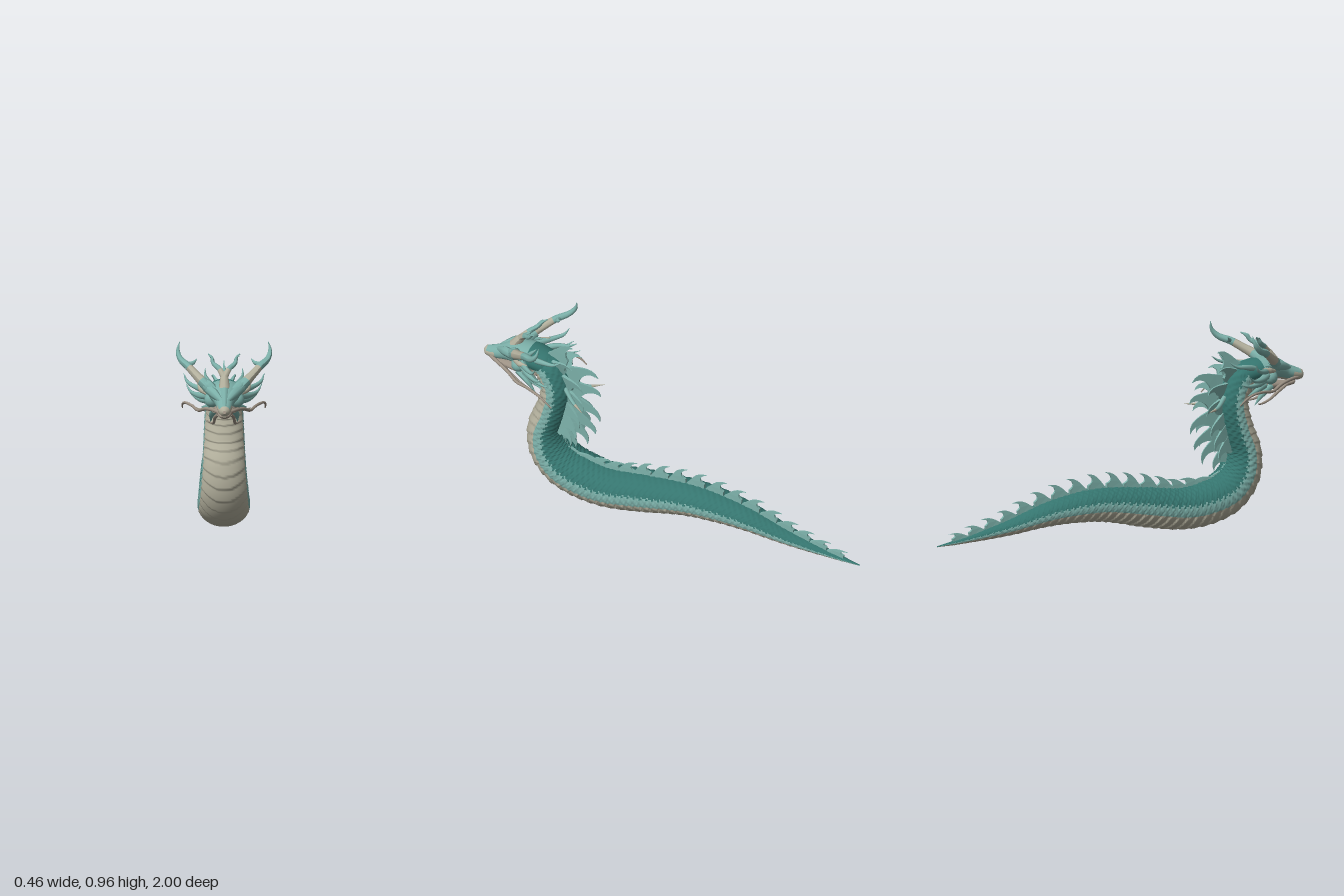
import * as THREE from 'three';

const paint = (name, color) => {
  const m = new THREE.MeshStandardMaterial({ color });
  m.name = name;
  return m;
};
const v = (x, y, z) => new THREE.Vector3(x, y, z);
const frac = (n) => n - Math.floor(n);

export function createModel() {
  const root = new THREE.Group();
  const dark = paint('deep teal', 0x35756f);
  const light = paint('pale teal', 0x7bafa8);
  const bone = paint('bone', 0xb3b09d);
  const whiskerTone = paint('whisker brown', 0x9c9184);

  const add = (name, geo, mat) => {
    const m = new THREE.Mesh(geo, mat);
    m.name = name;
    root.add(m);
    return m;
  };

  // Spine frame from sections [z, y, half height, half width], u from head to tail
  const spine = (sections) => {
    const path = new THREE.CatmullRomCurve3(sections.map(([z, y]) => v(0, y, z)), false, 'catmullrom', 0.5);
    path.arcLengthDivisions = 600;
    return (u) => {
      const k = path.getUtoTmapping(u) * (sections.length - 1);
      const i = Math.min(Math.floor(k), sections.length - 2);
      const mix = (c) => THREE.MathUtils.lerp(sections[i][c], sections[i + 1][c], k - i);
      const T = path.getTangentAt(u);
      return { C: path.getPointAt(u), T, N: v(0, -T.z, T.y), r: mix(2), w: mix(3) };
    };
  };

  // Skin over a spine; zone(u, a) picks the material, bump(u, a) scales the radius
  const loft = (name, at, rings, sides, mats, zone = () => 0, bump = () => 0) => {
    const pos = [], idx = mats.map(() => []);
    for (let i = 0; i <= rings; i++) {
      const f = at(i / rings);
      for (let j = 0; j < sides; j++) {
        const a = (j / sides) * Math.PI * 2, k = 1 + bump(i / rings, a);
        const p = f.C.clone().addScaledVector(f.N, Math.cos(a) * f.r * k);
        pos.push(p.x + Math.sin(a) * f.w * k, p.y, p.z);
      }
    }
    for (let i = 0; i < rings; i++) for (let j = 0; j < sides; j++) {
      const a = i * sides + j, b = i * sides + (j + 1) % sides;
      idx[zone((i + 0.5) / rings, ((j + 0.5) / sides) * Math.PI * 2)]
        .push(a, b, a + sides, b, b + sides, a + sides);
    }
    const g = new THREE.BufferGeometry();
    g.setAttribute('position', new THREE.Float32BufferAttribute(pos, 3));
    g.setIndex(idx.flat());
    let start = 0;
    idx.forEach((list, m) => { g.addGroup(start, list.length, m); start += list.length; });
    g.computeVertexNormals();
    return add(name, g, mats);
  };

  // Tapering tube; bands = [[end fraction, material], ...]
  const taper = (name, pts, radii, bands, n = 20, sides = 8) => {
    const curve = new THREE.CatmullRomCurve3(pts.map((p) => v(...p)));
    const g = new THREE.TubeGeometry(curve, n, 1, sides, false);
    const p = g.attributes.position, q = v(0, 0, 0);
    for (let i = 0; i <= n; i++) {
      const c = curve.getPointAt(i / n), k = (i / n) * (radii.length - 1);
      const e = Math.min(Math.floor(k), radii.length - 2);
      const r = THREE.MathUtils.lerp(radii[e], radii[e + 1], k - e);
      for (let j = 0; j <= sides; j++) {
        const o = i * (sides + 1) + j;
        q.fromBufferAttribute(p, o).sub(c).multiplyScalar(r).add(c);
        p.setXYZ(o, q.x, q.y, q.z);
      }
    }
    g.computeVertexNormals();
    let s = 0;
    bands.forEach(([end], m) => {
      const e = Math.round(end * n);
      g.addGroup(s * sides * 6, (e - s) * sides * 6, m);
      s = e;
    });
    return add(name, g, bands.map((b) => b[1]));
  };

  // Body: overlapping scales above, broad belly plates below
  const body = spine([
    [0.74, 0.73, 0.055, 0.06], [0.655, 0.7, 0.075, 0.08], [0.61, 0.6, 0.077, 0.091],
    [0.633, 0.47, 0.08, 0.097], [0.67, 0.35, 0.086, 0.104], [0.65, 0.24, 0.097, 0.114],
    [0.575, 0.158, 0.104, 0.121], [0.46, 0.116, 0.105, 0.123], [0.32, 0.102, 0.099, 0.12],
    [0.14, 0.126, 0.096, 0.113], [-0.06, 0.156, 0.083, 0.104], [-0.21, 0.16, 0.075, 0.098],
    [-0.4, 0.14, 0.059, 0.082], [-0.61, 0.093, 0.037, 0.055], [-0.83, 0.055, 0.016, 0.024],
    [-1, 0.034, 0.002, 0.003]]);
  const scale = (u, a) => {
    const col = (a / (Math.PI * 2)) * 24;
    return frac(u * 70 + (Math.floor(col) % 2) * 0.5 + Math.abs(frac(col) - 0.5) * 0.8);
  };
  const zone = (u, a) => {
    const c = Math.cos(a), jag = 0.2 * (scale(u, a) - 0.5);
    return c < -0.27 + jag * 0.3 ? 2 : c < 0.25 + jag ? 1 : 0;
  };
  loft('body', body, 440, 72, [dark, light, bone], zone, (u, a) => {
    const c = Math.cos(a);
    return c < -0.27 ? 0.07 * frac(u * 50 - 0.7 * c * c) - 0.02 : 0.06 * scale(u, a) - 0.02;
  });

  // Swept-back fin on the spine, thick at the root and tilted sideways by roll
  const fin = (name, u, len, h, lean, roll = 0) => {
    const s = new THREE.Shape();
    s.moveTo(0, -0.025);
    s.lineTo(0, 0);
    s.bezierCurveTo(len * 0.4, h * 0.45, len * 0.55, h * 1.1, len + lean, h);
    s.bezierCurveTo(len * 0.8, h * 0.85, len * 0.75, h * 0.4, len * 1.1, h * 0.2);
    s.lineTo(len * 1.1, -0.025);
    const g = new THREE.ExtrudeGeometry(s, { depth: 1, bevelEnabled: false, curveSegments: 7 });
    const p = g.attributes.position;
    for (let i = 0; i < p.count; i++) {
      const thick = THREE.MathUtils.lerp(0.018, 0.004, Math.min(1, Math.max(0, p.getY(i) / h)));
      p.setZ(i, (p.getZ(i) - 0.5) * thick);
    }
    g.computeVertexNormals();
    const f = body(u), X = v(1, 0, 0);
    const N = f.N.clone().multiplyScalar(Math.cos(roll)).addScaledVector(X, Math.sin(roll));
    const foot = f.C.clone().addScaledVector(f.N, Math.cos(roll) * f.r * 0.98)
      .addScaledVector(X, Math.sin(roll) * f.w * 0.98);
    g.applyMatrix4(new THREE.Matrix4().makeBasis(f.T, N, f.T.clone().cross(N)).setPosition(foot));
    add(name, g, light);
  };
  for (let i = 0; i < 18; i++) {
    const u = 0.225 + i * 0.041;
    const h = 0.022 + 0.045 * Math.sin(Math.PI * Math.min(1, (u - 0.15) / 0.85)) ** 1.2;
    fin('backFin', u, 0.105 * (1 - 0.25 * u), h, 0.025);
  }

  // Neck mane: centre row and two splayed rows
  [0.1, 0.14, 0.14, 0.15, 0.16, 0.14, 0.1].forEach((h, i) => {
    const u = 0.025 + i * 0.023;
    fin('maneFin', u, 0.1, h, 0.01 + (i % 2) * 0.02);
    if (i < 6) for (const s of [-1, 1]) fin('sideManeFin', u + 0.01, 0.08, h * 0.7, 0.02, s * 0.4);
  });

  // Head: pale face, bone muzzle sides, dark nape; then the lower jaw
  const head = spine([
    [1, 0.7, 0.008, 0.008], [0.988, 0.7, 0.024, 0.024], [0.95, 0.704, 0.031, 0.034], [0.9, 0.718, 0.037, 0.042],
    [0.85, 0.737, 0.046, 0.062], [0.8, 0.745, 0.055, 0.08], [0.73, 0.742, 0.057, 0.084],
    [0.67, 0.725, 0.06, 0.075], [0.62, 0.7, 0.04, 0.05]]);
  loft('head', head, 40, 32, [light, bone, dark], (u, a) => {
    const c = Math.cos(a);
    if (u > 0.66 && c > -0.4) return 2;
    return c < -0.75 || (u < 0.17 && c < 0.35) || u < 0.05 ? 1 : 0;
  });
  const jaw = spine([[0.955, 0.668, 0.004, 0.008], [0.94, 0.666, 0.013, 0.024], [0.88, 0.662, 0.017, 0.034],
    [0.8, 0.664, 0.025, 0.052], [0.7, 0.67, 0.035, 0.06]]);
  loft('lowerJaw', jaw, 20, 20, [whiskerTone]);
  taper('snoutRidge', [[0, 0.718, 0.975], [0, 0.738, 0.91], [0, 0.772, 0.84], [0, 0.78, 0.76]],
    [0.012, 0.02, 0.026, 0.01], [[1, light]]);

  // Forked middle crest
  taper('crestStem', [[0, 0.775, 0.84], [0, 0.82, 0.81], [0, 0.85, 0.78], [0, 0.878, 0.75]],
    [0.028, 0.022, 0.014, 0.001], [[0.65, bone], [1, light]]);

  for (const s of [-1, 1]) {
    const spike = (name, pts, radii, bands) => taper(name, pts.map(([x, y, z]) => [x * s, y, z]), radii, bands);
    // Main horn, its socket and prong
    spike('horn', [[0.06, 0.765, 0.82], [0.1, 0.797, 0.79], [0.135, 0.825, 0.75], [0.175, 0.858, 0.7],
      [0.21, 0.88, 0.65], [0.222, 0.915, 0.62], [0.213, 0.957, 0.61]],
    [0.026, 0.026, 0.021, 0.019, 0.017, 0.012, 0.001], [[0.2, light], [0.5, bone], [1, light]]);
    spike('hornSocket', [[0.045, 0.755, 0.83], [0.08, 0.783, 0.8], [0.105, 0.802, 0.775]], [0.028, 0.032, 0.022], [[1, light]]);
    spike('hornProng', [[0.18, 0.862, 0.69], [0.15, 0.868, 0.68], [0.13, 0.885, 0.66]], [0.014, 0.01, 0.001], [[1, light]]);
    // Crest branch
    spike('crestBranch', [[0, 0.825, 0.81], [0.025, 0.862, 0.77], [0.052, 0.88, 0.74], [0.06, 0.905, 0.72], [0.076, 0.917, 0.7]],
      [0.016, 0.014, 0.012, 0.009, 0.003], [[0.3, bone], [1, light]]);
    spike('crestProng', [[0.02, 0.855, 0.78], [0.055, 0.885, 0.74], [0.058, 0.905, 0.73], [0.072, 0.912, 0.72]],
      [0.008, 0.01, 0.008, 0.002], [[1, light]]);
    // Brow and cheek
    spike('brow', [[0.012, 0.735, 0.92], [0.045, 0.757, 0.865], [0.075, 0.77, 0.81], [0.1, 0.775, 0.74]],
      [0.012, 0.024, 0.024, 0.002], [[1, light]]);
    const cheek = add('cheek', new THREE.SphereGeometry(0.036, 14, 10), light);
    cheek.position.set(0.06 * s, 0.712, 0.79);
    // Cheek frill
    spike('earSpike', [[0.07, 0.755, 0.78], [0.12, 0.755, 0.73], [0.165, 0.765, 0.68], [0.18, 0.775, 0.66], [0.194, 0.807, 0.64]],
      [0.016, 0.017, 0.012, 0.009, 0.001], [[1, light]]);
    spike('ear', [[0.08, 0.745, 0.8], [0.11, 0.755, 0.76], [0.13, 0.772, 0.71]], [0.01, 0.014, 0.001], [[1, bone]]);
    spike('cheekSpike', [[0.07, 0.725, 0.77], [0.12, 0.715, 0.71], [0.16, 0.72, 0.65], [0.183, 0.748, 0.61]],
      [0.018, 0.016, 0.009, 0.001], [[1, light]]);
    spike('cheekSpike', [[0.06, 0.7, 0.76], [0.11, 0.69, 0.69], [0.15, 0.695, 0.62], [0.17, 0.71, 0.57]],
      [0.018, 0.016, 0.008, 0.001], [[1, light]]);
    spike('jawSpike', [[0.055, 0.675, 0.76], [0.085, 0.655, 0.7], [0.11, 0.64, 0.64]], [0.018, 0.013, 0.001], [[1, light]]);
    spike('jawSpike', [[0.045, 0.665, 0.8], [0.06, 0.63, 0.745], [0.065, 0.58, 0.7]], [0.018, 0.014, 0.001], [[1, light]]);
    spike('neckSpike', [[0.04, 0.63, 0.55], [0.07, 0.59, 0.5], [0.13, 0.582, 0.42]], [0.013, 0.009, 0.001], [[0.6, light], [1, bone]]);
    spike('templeSpike', [[0.05, 0.755, 0.72], [0.08, 0.775, 0.65], [0.09, 0.785, 0.59], [0.09, 0.81, 0.55]],
      [0.016, 0.014, 0.009, 0.001], [[1, light]]);
    // Long whisker and chin barbel
    spike('whisker', [[0.026, 0.69, 0.955], [0.06, 0.69, 0.9], [0.095, 0.677, 0.83], [0.125, 0.655, 0.77],
      [0.155, 0.662, 0.7], [0.19, 0.658, 0.62], [0.2, 0.64, 0.58], [0.199, 0.615, 0.55]],
    [0.009, 0.009, 0.008, 0.008, 0.007, 0.007, 0.006, 0.003], [[1, whiskerTone]]);
    spike('barbel', [[0.03, 0.665, 0.9], [0.045, 0.64, 0.85], [0.05, 0.6, 0.79], [0.06, 0.585, 0.74], [0.08, 0.59, 0.71]],
      [0.008, 0.008, 0.007, 0.006, 0.002], [[1, whiskerTone]]);
  }
  return root;
}
